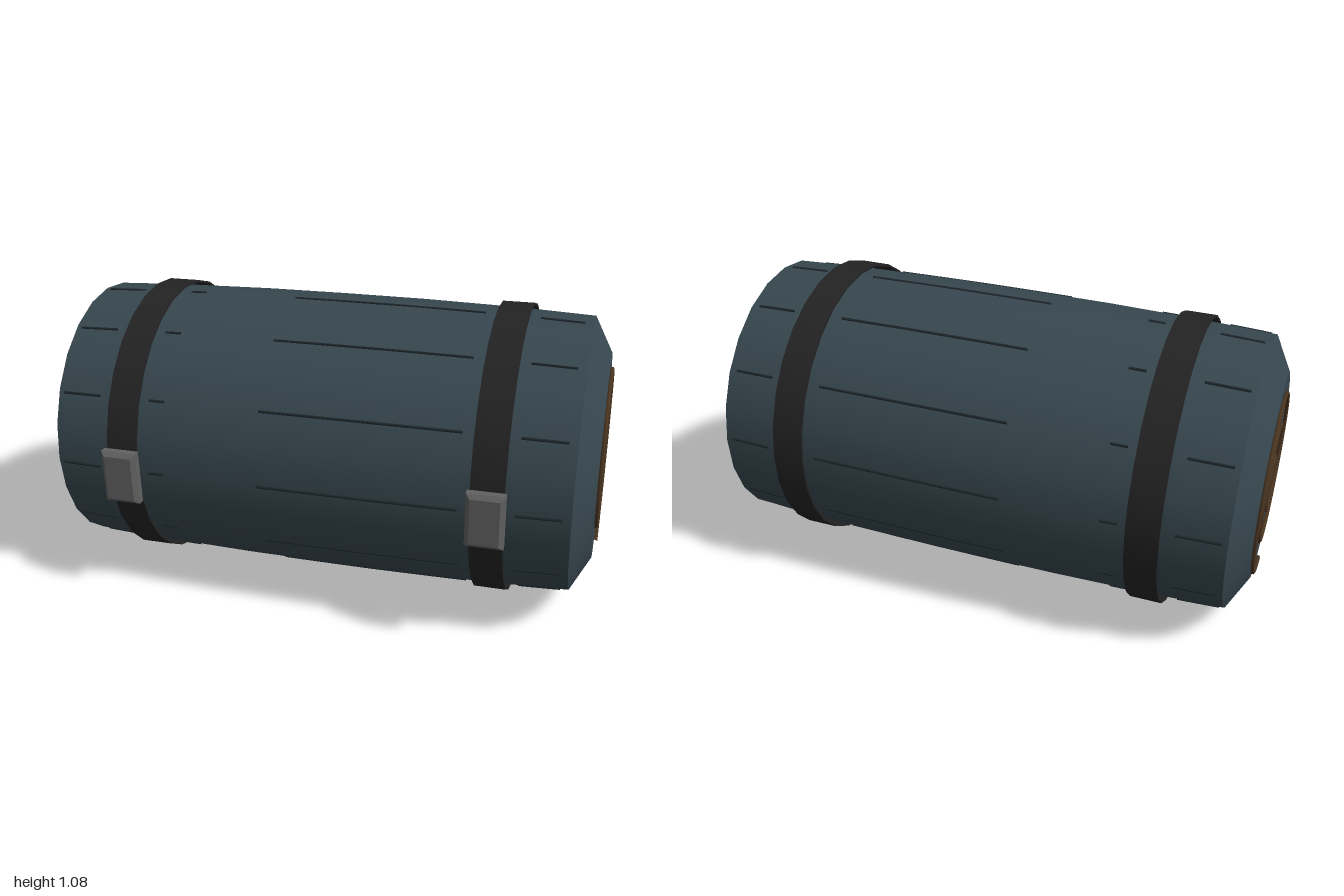
import * as THREE from 'three';

const material = (name, color, extra = {}) => {
  const m = new THREE.MeshStandardMaterial({ color, ...extra });
  m.name = name;
  return m;
};

// Lathe around the x axis from [x, radius] pairs; every inner corner is kept sharp when crease is set
function latheX(points, segments, creases = []) {
  const profile = [];
  points.forEach(([x, r], i) => {
    profile.push(new THREE.Vector2(r, x));
    if (creases.includes(i)) profile.push(new THREE.Vector2(r, x));
  });
  return new THREE.LatheGeometry(profile, segments).rotateZ(-Math.PI / 2);
}

// Radius of the gently bulging roll at a given x
const rollRadius = (x) => 0.514 - 0.019 * Math.pow(Math.abs(x) / 0.92, 2.5);

export function createModel() {
  const cloth = material('slate cloth', 0x37474f);
  const seamDark = material('dark seam', 0x1d272b);
  const strapBlack = material('black strap', 0x232323);
  const buckleGrey = material('grey buckle', 0x616161);
  const cordBrown = material('brown cord', 0x4a3520);

  const model = new THREE.Group();
  model.name = 'bedroll';
  const roll = new THREE.Group();
  roll.name = 'roll';
  roll.position.set(0, 0.54, -0.02);
  roll.rotation.z = 0.019;
  model.add(roll);

  const add = (name, geometry, mat, parent = roll) => {
    const mesh = new THREE.Mesh(geometry, mat);
    mesh.name = name;
    parent.add(mesh);
    return mesh;
  };

  // Rolled body with chamfered, flat ends
  const body = [[-0.987, 0], [-0.987, 0.37], [-0.92, 0.495]];
  for (const x of [-0.65, -0.3, 0, 0.3, 0.65]) body.push([x, rollRadius(x)]);
  body.push([0.92, 0.495], [0.987, 0.37], [0.987, 0]);
  add('body', latheX(body, 24, [1, 2, 8, 9]), cloth);

  // Broken seam lines along the body
  const seams = new THREE.Group();
  seams.name = 'seams';
  roll.add(seams);
  const spans = [[-0.9, -0.75], [-0.56, -0.5], [-0.15, 0.55], [0.74, 0.89]];
  for (let i = 0; i < 12; i++) {
    const angle = (i * Math.PI) / 6 - 0.025;
    for (const [a, b] of spans) {
      const path = [a, (a + b) / 2, b].map((x) => {
        const r = rollRadius(x) - 0.001;
        return new THREE.Vector3(x, Math.sin(angle) * r, Math.cos(angle) * r);
      });
      add('seam', new THREE.TubeGeometry(new THREE.CatmullRomCurve3(path), 4, 0.005, 5), seamDark, seams);
    }
  }

  // Spiral cord showing the rolled layers, mirrored on both ends
  for (const side of [-1, 1]) {
    const path = [];
    for (let i = 0; i <= 60; i++) {
      const t = i / 60;
      const angle = t * Math.PI * 5;
      const r = 0.08 + 0.28 * t;
      path.push(new THREE.Vector3(side * 0.992, Math.cos(angle) * r, -Math.sin(angle) * r));
    }
    add('endSpiral', new THREE.TubeGeometry(new THREE.CatmullRomCurve3(path), 90, 0.008, 6), cordBrown);
  }

  // Straps with bevelled buckles at the front
  const plate = new THREE.Shape([[-0.05, -0.083], [0.05, -0.083], [0.05, 0.083], [-0.05, 0.083]]
    .map(([x, y]) => new THREE.Vector2(x, y)));
  const buckle = new THREE.ExtrudeGeometry(plate, {
    depth: 0.025, bevelThickness: 0.014, bevelSize: 0.015, bevelSegments: 1,
  }).translate(0, 0, -0.0125);
  for (const side of [-1, 1]) {
    const x = side * 0.648;
    const ring = [[-0.057, 0.519], [-0.057, 0.527], [0.057, 0.527], [0.057, 0.519], [-0.057, 0.519]];
    add('strap', latheX(ring, 28, [1, 2, 3]), strapBlack).position.x = x;
    add('buckle', buckle, buckleGrey).position.set(x, -0.02, 0.538);
  }
  return model;
}
